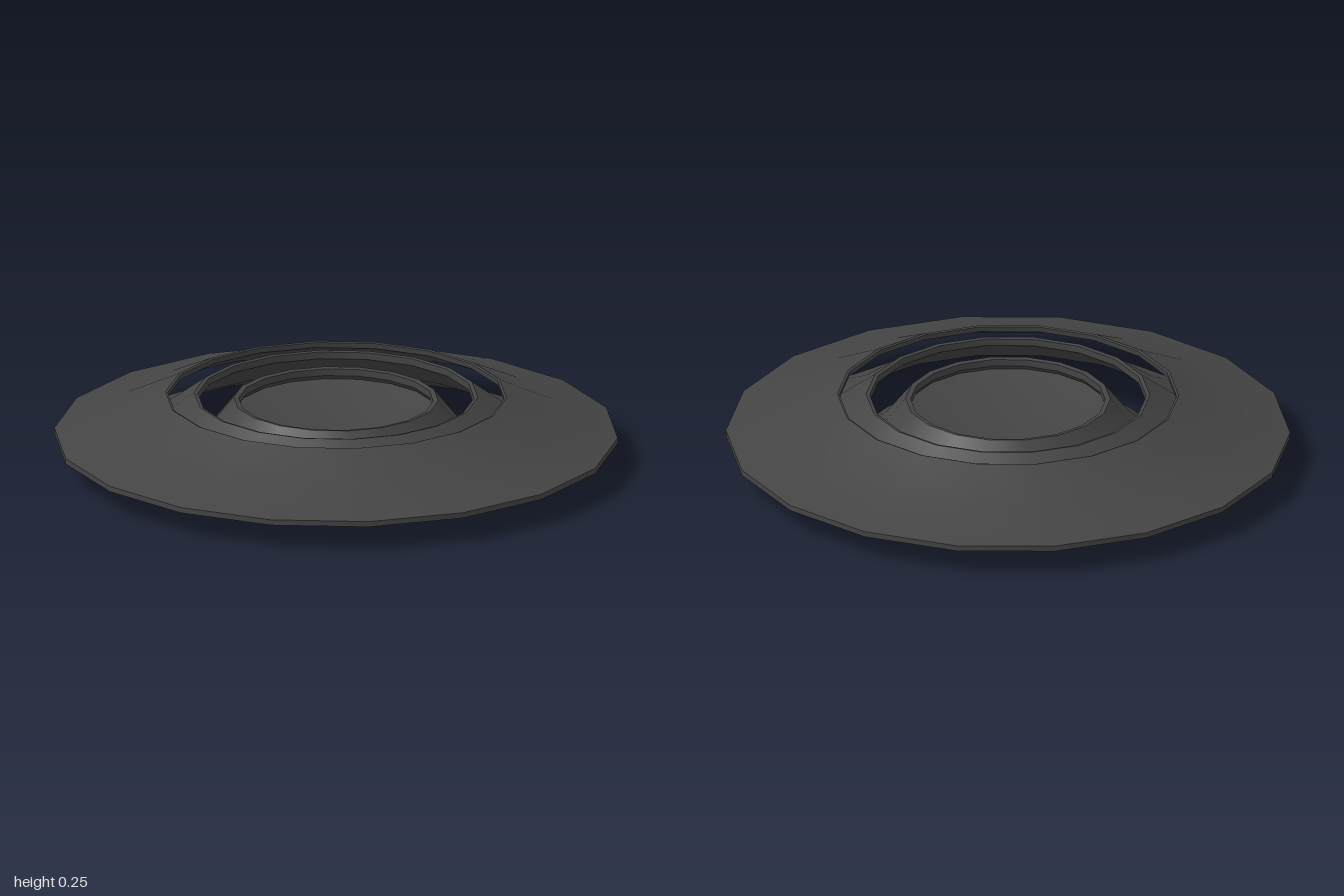
import * as THREE from 'three';
import { toCreasedNormals } from 'three/addons/utils/BufferGeometryUtils.js';

const SIDES = 18;

export function createModel() {
  const group = new THREE.Group();
  const darkGrey = new THREE.MeshStandardMaterial({ color: 0x444444 });
  darkGrey.name = 'darkGrey';

  // Revolves a [radius, height] section, with a corner on the x axis
  function addRing(name, section) {
    const points = section.map(([r, y]) => new THREE.Vector2(r, y));
    const lathe = new THREE.LatheGeometry(points, SIDES, Math.PI / 2);
    const mesh = new THREE.Mesh(toCreasedNormals(lathe, 0.6), darkGrey);
    mesh.name = name;
    group.add(mesh);
  }

  // Closed sections: underside outwards, up the rim, then back along the top
  addRing('outerCone', [
    [0.6, 0.23], [0.795, 0.14], [1, 0.09],
    [1, 0.11], [0.8, 0.16], [0.605, 0.253], [0.597, 0.25], [0.6, 0.23],
  ]);
  addRing('middleCone', [
    [0.49, 0.225], [0.65, 0.115], [0.81, 0.045],
    [0.818, 0.064], [0.66, 0.135], [0.503, 0.253], [0.49, 0.25], [0.49, 0.225],
  ]);
  addRing('innerCone', [
    [0.345, 0.21], [0.44, 0.1], [0.565, 0],
    [0.583, 0.018], [0.568, 0.036], [0.46, 0.115], [0.363, 0.238], [0.345, 0.235], [0.345, 0.21],
  ]);

  // Shallow dish closing the inner cone
  addRing('dish', [
    [0, 0.135], [0.13, 0.141], [0.25, 0.158], [0.355, 0.185],
    [0.355, 0.195], [0.25, 0.168], [0.13, 0.151], [0, 0.145],
  ]);

  return group;
}
